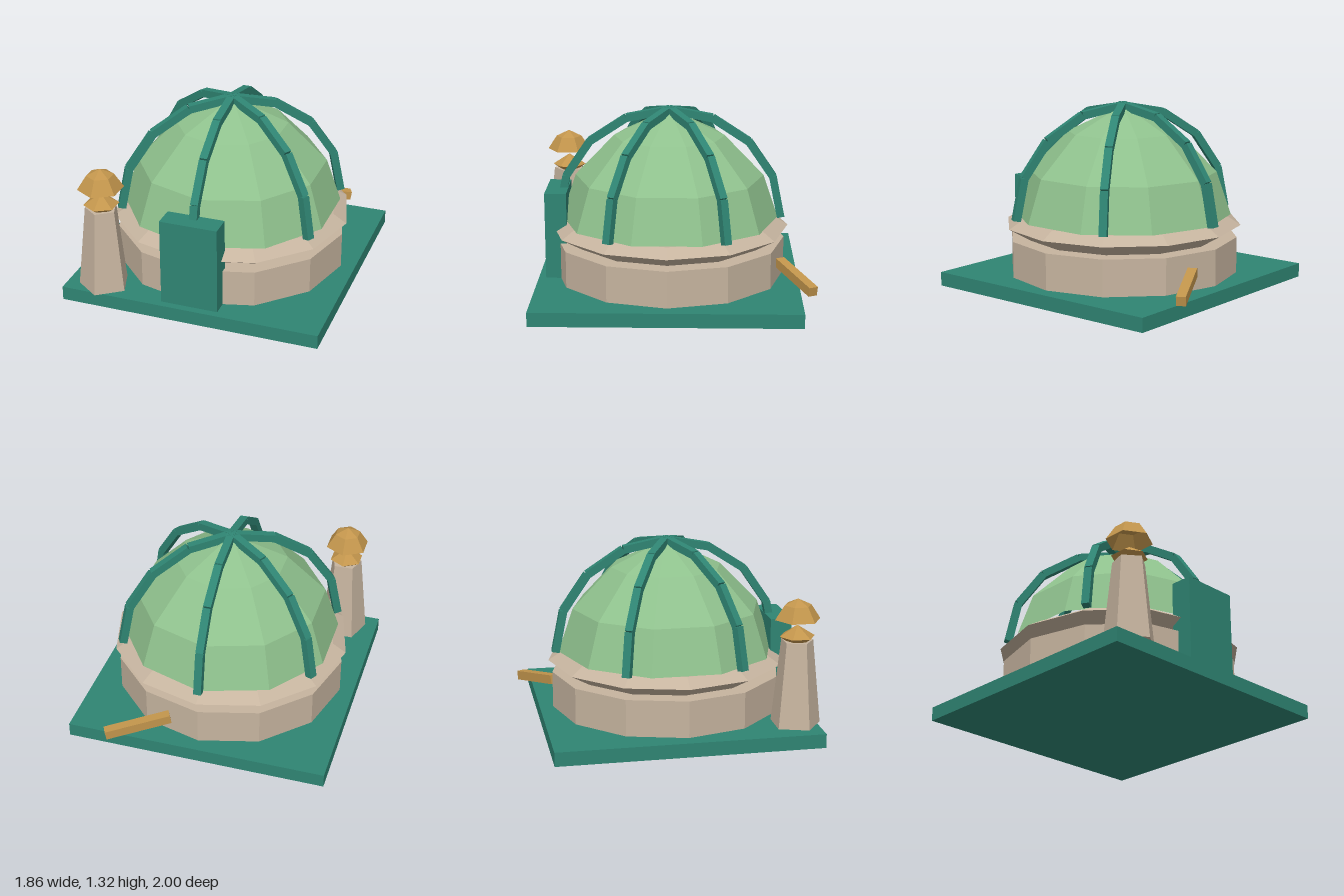
import * as THREE from 'three';

const teal = new THREE.MeshStandardMaterial({ color: 0x2f8573 });
teal.name = 'teal';
const green = new THREE.MeshStandardMaterial({ color: 0x8fc18d });
green.name = 'domeGreen';
const stone = new THREE.MeshStandardMaterial({ color: 0xc6b49f });
stone.name = 'stone';
const gold = new THREE.MeshStandardMaterial({ color: 0xc2954c, side: THREE.DoubleSide });
gold.name = 'gold';

const CENTRE_Z = 0.035;

function add(parent, name, geometry, material, x = 0, y = 0, z = 0) {
  // Faceted look: every face gets its own normals
  const flat = geometry.index ? geometry.toNonIndexed() : geometry;
  flat.computeVertexNormals();
  const mesh = new THREE.Mesh(flat, material);
  mesh.name = name;
  mesh.position.set(x, y, z);
  parent.add(mesh);
  return mesh;
}

// Faceted turned shape; profile of [radius, height] from bottom to top
function turned(profile, sides) {
  return new THREE.LatheGeometry(profile.map(([r, y]) => new THREE.Vector2(r, y)), sides);
}

// Square bar from a to b
function bar(parent, name, a, b, width, material) {
  const mesh = add(parent, name, new THREE.BoxGeometry(width, width, a.distanceTo(b)), material);
  mesh.position.copy(a).lerp(b, 0.5);
  mesh.lookAt(b);
  return mesh;
}

export function createModel() {
  const model = new THREE.Group();
  model.name = 'domedBuilding';

  // Ground plate and entrance block
  add(model, 'basePlate', new THREE.BoxGeometry(1.86, 0.1, 1.86), teal, 0, 0.05, 0.04);
  add(model, 'entrance', new THREE.BoxGeometry(0.41, 0.625, 0.155), teal, 0, 0.4125, 0.84);

  // Round wall, cornice and dome
  add(model, 'drum', turned([[0, 0.1], [0.828, 0.1], [0.828, 0.36], [0, 0.36]], 12), stone, 0, 0, CENTRE_Z);
  add(model, 'cornice', turned([[0.7, 0.36], [0.855, 0.45], [0.76, 0.51], [0, 0.51]], 12), stone, 0, 0, CENTRE_Z);
  add(model, 'dome', turned([[0.78, 0.51], [0.675, 0.82], [0.395, 1.11], [0, 1.3]], 10), green, 0, 0, CENTRE_Z);

  // Six ribs, each an arch of four straight bars
  const arch = [0, 1, 2, 3, 4].map((i) => {
    const a = (i * Math.PI) / 8;
    return new THREE.Vector3(0, 0.51 + 0.785 * Math.sin(a), 0.803 * Math.cos(a));
  });
  for (let r = 0; r < 6; r++) {
    const rib = new THREE.Group();
    rib.name = 'rib';
    for (let i = 0; i < 4; i++) bar(rib, 'ribSegment', arch[i], arch[i + 1], 0.055, teal);
    rib.rotation.y = (r * Math.PI) / 3;
    rib.position.z = CENTRE_Z;
    model.add(rib);
  }

  // Corner tower with a gold finial
  const tower = new THREE.Group();
  tower.name = 'tower';
  tower.position.set(-0.67, 0, 0.82);
  add(tower, 'towerShaft', turned([[0, 0.1], [0.18, 0.1], [0.115, 0.7], [0, 0.7]], 5), stone);
  add(tower, 'finialBase', turned([[0, 0.7], [0.08, 0.7], [0.124, 0.73], [0, 0.81]], 6), gold);
  add(tower, 'finialCap', turned([[0.16, 0.85], [0.095, 0.95], [0, 0.995]], 6), gold);
  model.add(tower);

  // Sloping beam leaning out of the back wall
  bar(model, 'backBeam', new THREE.Vector3(0.215, 0.235, -0.755), new THREE.Vector3(0.625, 0.155, -0.965), 0.066, gold);

  return model;
}
